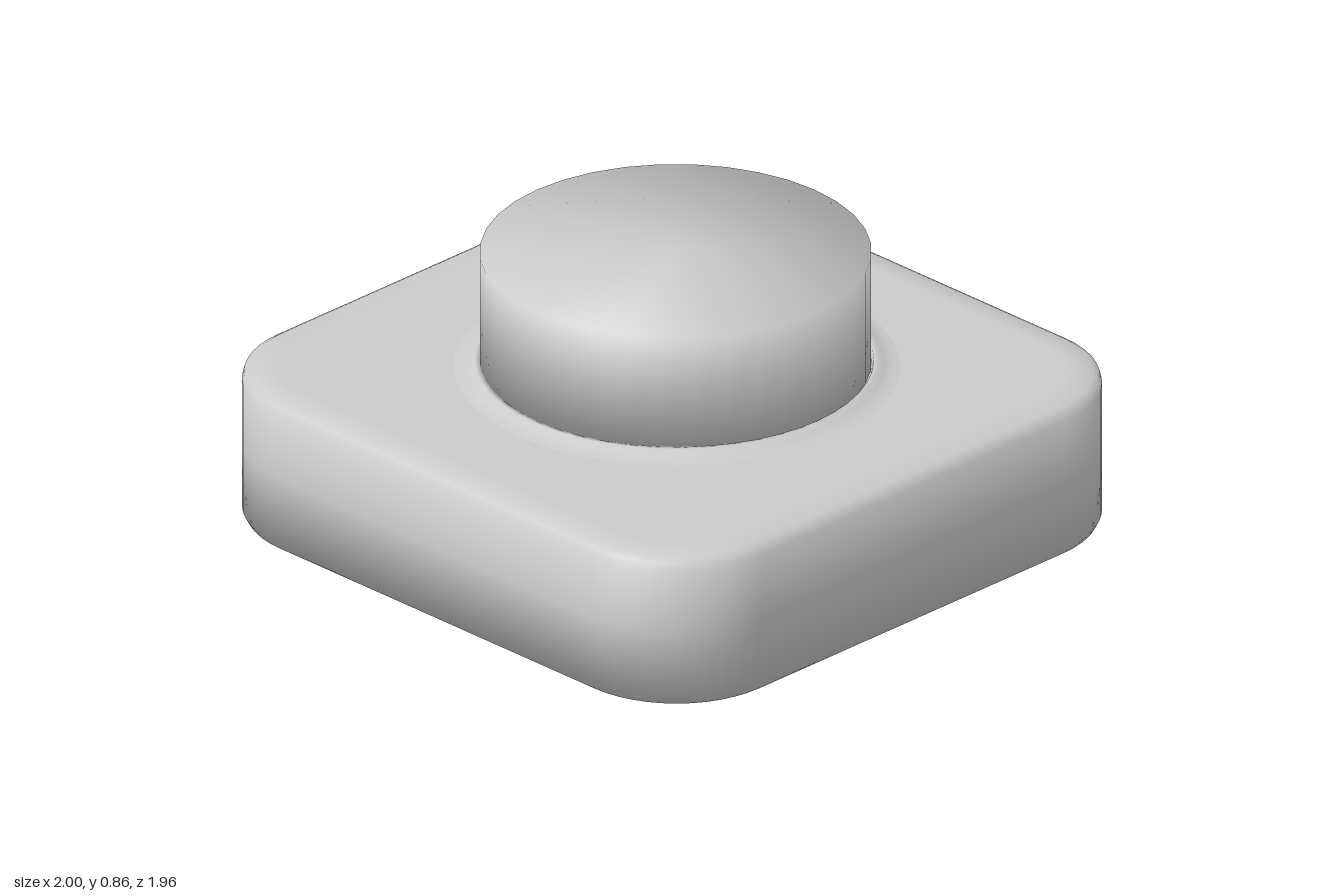
import * as THREE from 'three';
import { mergeVertices } from 'three/addons/utils/BufferGeometryUtils.js';

const material = new THREE.MeshStandardMaterial({ color: 0xcccccc });
const CENTRE_Z = -0.02;

function part(name, geometry, parent) {
  const mesh = new THREE.Mesh(geometry, material);
  mesh.name = name;
  parent.add(mesh);
  return mesh;
}

// Rounded square block: outline rings of [inset, y, normal tilt], closed by two caps
function roundedBlock(halfX, halfZ, radius, rings, steps) {
  const positions = [], normals = [], index = [];
  const count = 4 * (steps + 1);
  for (const [inset, y, tilt] of rings) {
    for (let corner = 0; corner < 4; corner++) {
      const sx = corner === 0 || corner === 3 ? 1 : -1;
      const sz = corner < 2 ? 1 : -1;
      for (let i = 0; i <= steps; i++) {
        const a = (corner + i / steps) * Math.PI / 2;
        const c = Math.cos(a), s = Math.sin(a), r = radius - inset;
        positions.push(sx * (halfX - radius) + c * r, y, sz * (halfZ - radius) + s * r);
        normals.push(c * Math.cos(tilt), Math.sin(tilt), s * Math.cos(tilt));
      }
    }
  }
  for (let r = 0; r < rings.length - 1; r++) {
    for (let i = 0; i < count; i++) {
      const a = r * count + i, b = r * count + (i + 1) % count;
      index.push(a, a + count, b, b, a + count, b + count);
    }
  }
  // Cap centres
  const bottom = positions.length / 3, last = (rings.length - 1) * count;
  positions.push(0, rings[0][1], 0, 0, rings[rings.length - 1][1], 0);
  normals.push(0, -1, 0, 0, 1, 0);
  for (let i = 0; i < count; i++) {
    const j = (i + 1) % count;
    index.push(bottom, i, j, bottom + 1, last + j, last + i);
  }
  const geometry = new THREE.BufferGeometry();
  geometry.setAttribute('position', new THREE.Float32BufferAttribute(positions, 3));
  geometry.setAttribute('normal', new THREE.Float32BufferAttribute(normals, 3));
  geometry.setIndex(index);
  return geometry;
}

export function createModel() {
  const model = new THREE.Group();
  model.name = 'pushButton';

  // Housing with softly rounded rims
  const up = Math.PI / 2;
  const rings = [
    [0.1, 0, -up], [0.04, 0.003, -1.3], [0.012, 0.012, -1.0], [0, 0.035, -0.7],
    [0, 0.25, 0.05], [0, 0.45, 0.5], [0.006, 0.472, 0.8], [0.025, 0.483, 1.2], [0.1, 0.488, up],
  ];
  part('base', roundedBlock(1, 0.98, 0.35, rings, 12), model);

  // Shallow flared collar around the button
  const profile = [[0.66, 0.487], [0.63, 0.491], [0.605, 0.499], [0.59, 0.51], [0.575, 0.51], [0.57, 0.49]];
  const collar = new THREE.LatheGeometry(profile.map(([x, y]) => new THREE.Vector2(x, y)), 48);
  const collarMesh = part('collar', collar, model);
  collarMesh.material = material.clone();
  collarMesh.material.side = THREE.DoubleSide;
  collarMesh.position.z = CENTRE_Z;

  // Button with normals blended over its rims
  let button = new THREE.CylinderGeometry(0.573, 0.573, 0.36, 36);
  button.deleteAttribute('uv');
  button.deleteAttribute('normal');
  button = mergeVertices(button);
  button.computeVertexNormals();
  part('button', button, model).position.set(-0.005, 0.68, CENTRE_Z);

  return model;
}
